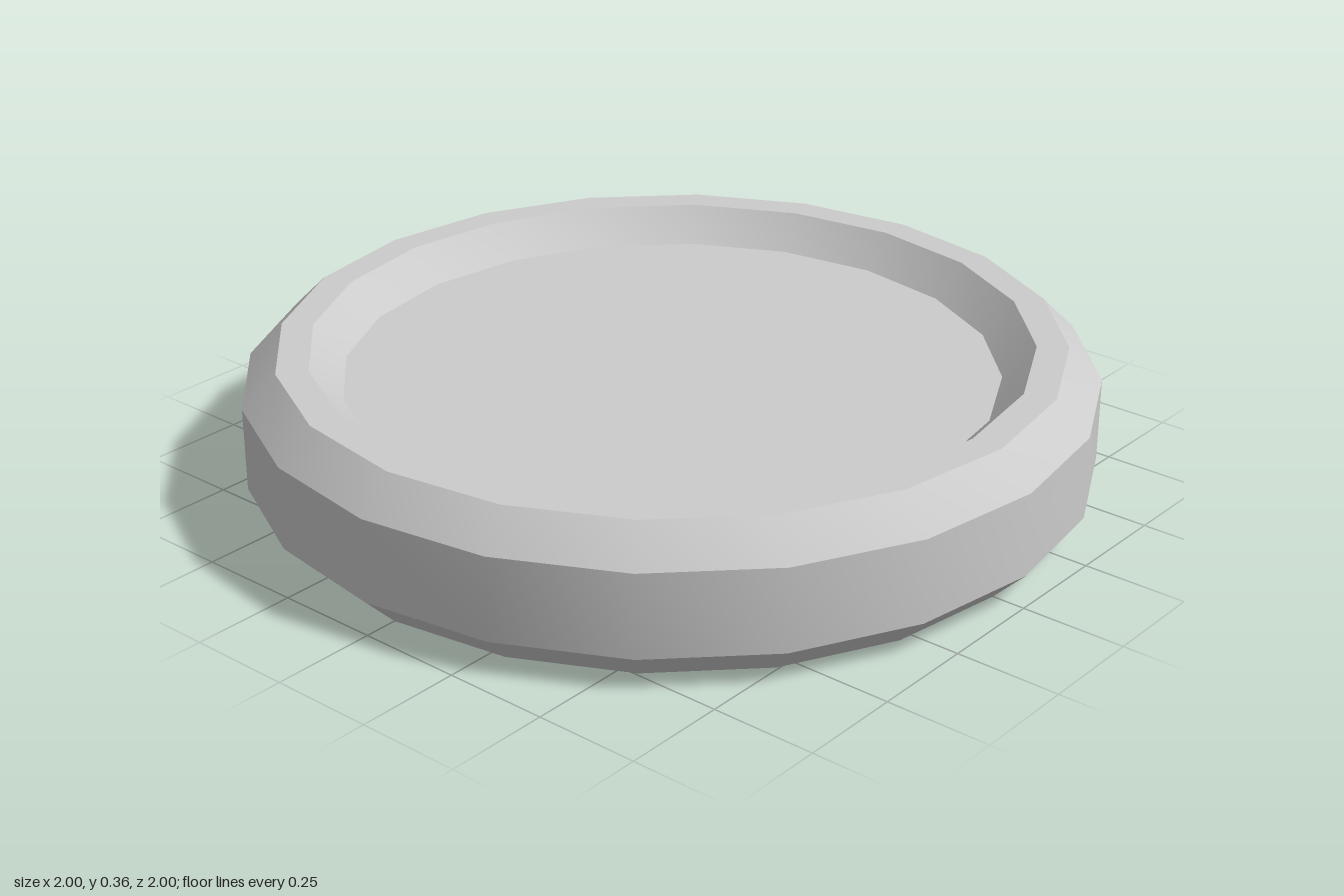
import * as THREE from 'three';
import { toCreasedNormals } from 'three/addons/utils/BufferGeometryUtils.js';

const SIDES = 20;

// Spins an [r, y] profile around the y axis: smooth around, sharp between bands
function turned(name, profile, material) {
  const points = profile.map(([r, y]) => new THREE.Vector2(r, y));
  const geometry = toCreasedNormals(new THREE.LatheGeometry(points, SIDES), Math.PI / 6);
  const mesh = new THREE.Mesh(geometry, material);
  mesh.name = name;
  return mesh;
}

export function createModel() {
  const model = new THREE.Group();
  model.name = 'disc';
  const material = new THREE.MeshStandardMaterial({ color: 0xcccccc });

  const height = 0.36, bevel = 0.08;
  const floorRadius = 0.77, innerRim = 0.845, outerRim = 0.92;

  // Raised rim with bevels on both sides, top and bottom
  model.add(turned('rim', [
    [floorRadius, bevel], [innerRim, 0], [outerRim, 0], [1, bevel],
    [1, height - bevel], [outerRim, height], [innerRim, height], [floorRadius, height - bevel],
  ], material));

  // Recessed flat faces
  model.add(turned('bottomFace', [[0, bevel], [floorRadius, bevel]], material));
  model.add(turned('topFace', [[floorRadius, height - bevel], [0, height - bevel]], material));

  return model;
}
